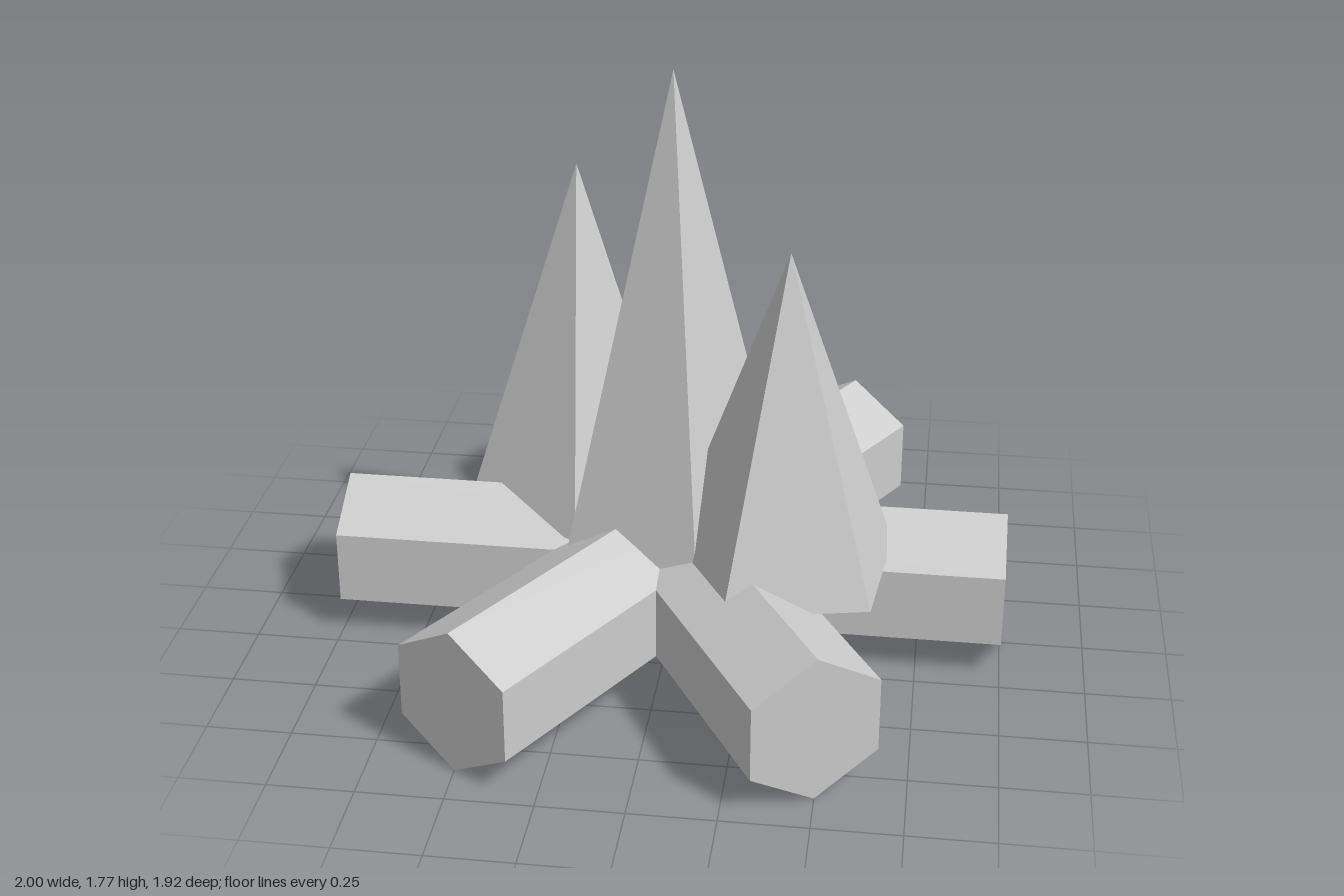
import * as THREE from 'three';

export function createModel() {
  const group = new THREE.Group();
  group.name = 'campfire';
  const grey = new THREE.MeshStandardMaterial({ color: 0xcccccc, flatShading: true });
  grey.name = 'light grey';

  const add = (name, geometry) => {
    const mesh = new THREE.Mesh(geometry, grey);
    mesh.name = name;
    group.add(mesh);
    return mesh;
  };

  // Three hexagonal logs crossing at the centre, each with an edge on top
  const logRadius = 0.2225;
  for (let i = 0; i < 3; i++) {
    const log = new THREE.CylinderGeometry(logRadius, logRadius, 2, 6);
    log.rotateY(Math.PI / 6).rotateZ(Math.PI / 2).rotateY(i * Math.PI / 3);
    add('log' + (i + 1), log).position.y = logRadius;
  }

  // Five-sided flames rising from the crossed logs
  const flameBase = 0.356;
  const flames = [
    { name: 'centreFlame', x: 0, z: 0, top: 1.775, turn: 18 },
    { name: 'leftFlame', x: 0.355, z: 0.22, top: 1.335, turn: 48 },
    { name: 'rightFlame', x: -0.31, z: -0.18, top: 1.42, turn: 6 },
  ];
  for (const { name, x, z, top, turn } of flames) {
    const height = top - flameBase;
    const cone = new THREE.ConeGeometry(0.357, height, 5);
    cone.rotateY(THREE.MathUtils.degToRad(turn));
    add(name, cone).position.set(x, flameBase + height / 2, z);
  }
  return group;
}
